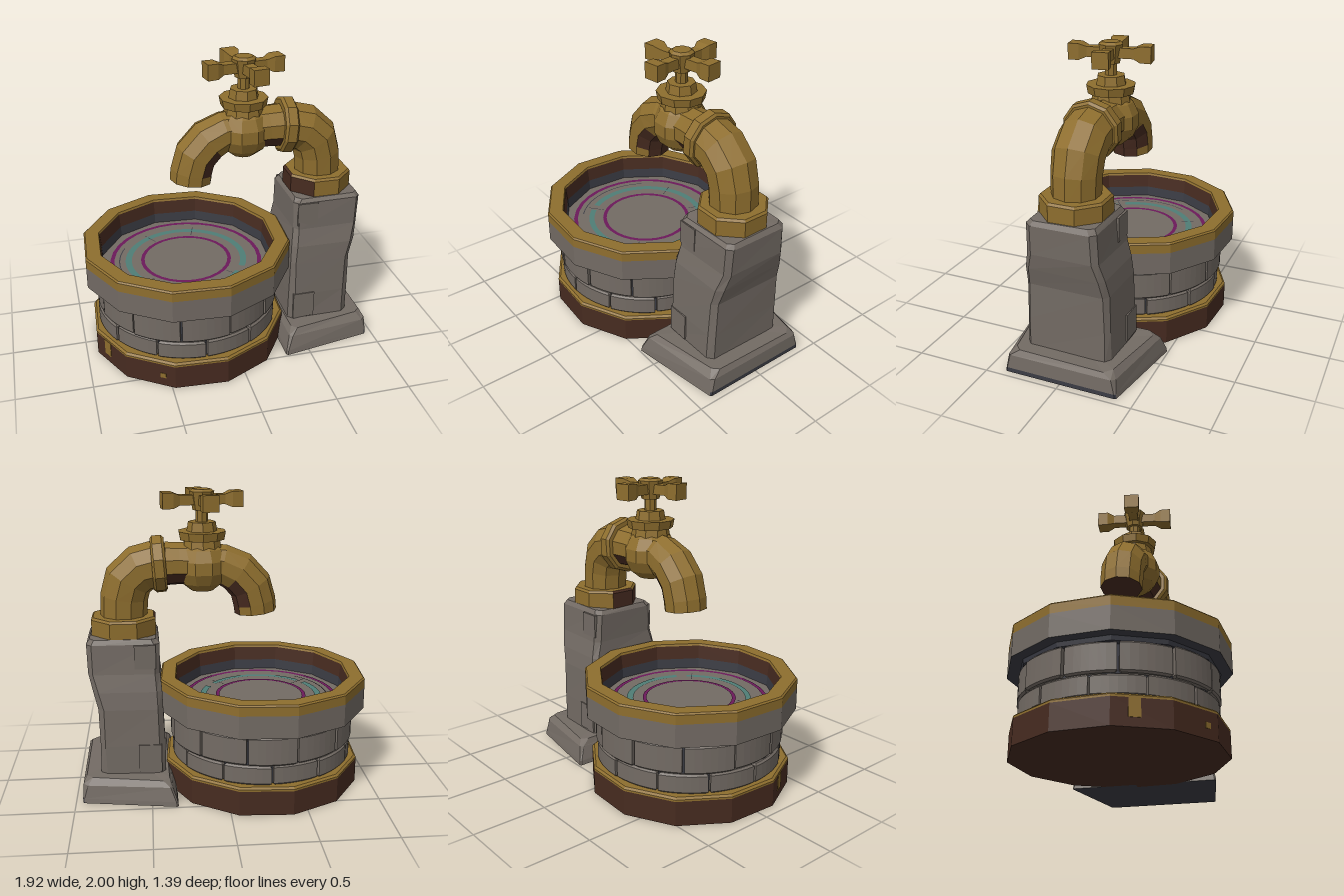
import * as THREE from 'three';

const mat = (name, color) => {
  const m = new THREE.MeshStandardMaterial({ color });
  m.name = name;
  return m;
};

export function createModel() {
  const model = new THREE.Group();
  model.name = 'waterTap';
  const gold = mat('gold', 0x8e6e2e), stone = mat('stone', 0x736b64), brown = mat('rustBrown', 0x472b20);
  const slate = mat('darkSlate', 0x3b3c44), purple = mat('purple', 0x6b1a5a), teal = mat('teal', 0x4f7d76);

  let seed = 7;
  const rand = () => ((seed = (seed * 16807) % 2147483647) / 2147483647) - 0.5;

  // Adds a faceted mesh
  const add = (name, geo, material, x = 0, y = 0, z = 0, parent = model) => {
    const g = geo.index ? geo.toNonIndexed() : geo;
    g.computeVertexNormals();
    const mesh = new THREE.Mesh(g, material);
    mesh.name = name;
    mesh.position.set(x, y, z);
    parent.add(mesh);
    return mesh;
  };

  // Skins a stack of equal-length sections and caps both ends; pick(i, j) chooses a material slot
  const loft = (sections, pick = () => 0, capSlots = [0, 0]) => {
    const buckets = {};
    const tri = (slot, ...pts) => pts.forEach(p => (buckets[slot] ??= []).push(...p));
    const n = sections[0].length;
    for (let i = 0; i < sections.length - 1; i++)
      for (let j = 0; j < n; j++) {
        const k = (j + 1) % n, lo = sections[i], hi = sections[i + 1];
        tri(pick(i, j), lo[j], lo[k], hi[k]);
        tri(pick(i, j), lo[j], hi[k], hi[j]);
      }
    [sections[0], sections.at(-1)].forEach((s, e) => {
      const c = [0, 1, 2].map(a => s.reduce((t, p) => t + p[a], 0) / n);
      for (let j = 0; j < n; j++) {
        const p = s[j], q = s[(j + 1) % n];
        e ? tri(capSlots[1], c, p, q) : tri(capSlots[0], c, q, p);
      }
    });
    const g = new THREE.BufferGeometry(), all = [];
    for (const slot in buckets) {
      g.addGroup(all.length / 3, buckets[slot].length / 3, +slot);
      all.push(...buckets[slot]);
    }
    g.setAttribute('position', new THREE.Float32BufferAttribute(all, 3));
    return g;
  };

  // Horizontal trapezoid with cut corners; z0 and z1 are half widths at x0 and x1
  const block = (y, x0, x1, z0, z1, c, wobble = 0) => [
    [x1, z1 - c], [x1, c - z1], [x1 - c, -z1], [x0 + c, -z0],
    [x0, c - z0], [x0, z0 - c], [x0 + c, z0], [x1 - c, z1],
  ].map(([x, z]) => [x + rand() * wobble, y + rand() * wobble, z + rand() * wobble]);

  // Sections of a pipe bending in the xy plane, from [x, y, radius] stations
  const pipe = (path, sides = 10) => path.map(([x, y, r], i) => {
    const a = path[Math.max(i - 1, 0)], b = path[Math.min(i + 1, path.length - 1)];
    const len = Math.hypot(b[0] - a[0], b[1] - a[1]);
    const nx = -(b[1] - a[1]) / len, ny = (b[0] - a[0]) / len;
    return Array.from({ length: sides }, (_, j) => {
      const t = j / sides * Math.PI * 2, c = r * Math.cos(t);
      return [x + nx * c, y + ny * c, r * Math.sin(t)];
    });
  });

  // ---- Basin: twelve-sided rings around its own axis ----
  const basin = new THREE.Group();
  basin.name = 'basin';
  basin.position.x = -0.265;
  model.add(basin);
  const ring = (name, material, pts) => add(name, new THREE.LatheGeometry(
    pts.map(p => new THREE.Vector2(...p)), 12, 0.2), material, 0, 0, 0, basin);
  ring('basinFoot', brown, [[0, 0], [0.675, 0], [0.675, 0.165]]);
  ring('footTrim', gold, [[0.675, 0.165], [0.675, 0.178], [0.66, 0.19], [0.59, 0.19]]);
  ring('wallCore', slate, [[0.605, 0.17], [0.605, 0.5], [0.63, 0.51], [0.635, 0.54], [0.71, 0.54]]);
  ring('rimBand', stone, [[0.71, 0.54], [0.71, 0.69]]);
  ring('rimCap', gold, [[0.71, 0.69], [0.71, 0.75], [0.7, 0.76], [0.605, 0.76], [0.6, 0.745]]);
  ring('innerWall', brown, [[0.6, 0.745], [0.59, 0.65]]);
  ring('innerWallFoot', slate, [[0.59, 0.65], [0.585, 0.58]]);
  ring('basinFloor', stone, [[0.585, 0.58], [0, 0.58]]);

  // Two staggered courses of bevelled bricks
  [[0.19, 0.32, 0.618, 0], [0.325, 0.515, 0.625, 0.5]].forEach(([y0, y1, r, shift]) => {
    for (let i = 0; i < 12; i++) {
      const step = Math.PI / 6, b = 0.012;
      const a0 = (i + shift) * step + 0.03, a1 = (i + 1 + shift) * step - 0.03;
      const out = r - b + rand() * 0.014;
      const shape = new THREE.Shape();
      shape.absarc(0, 0, out, a0, a1, false);
      shape.absarc(0, 0, 0.57, a1, a0, true);
      const g = new THREE.ExtrudeGeometry(shape, {
        depth: y1 - y0 - 2 * b + rand() * 0.012, bevelSize: b, bevelThickness: b, bevelSegments: 1, curveSegments: 3,
      });
      g.rotateX(-Math.PI / 2);
      add('brick', g, stone, 0, y0 + b, 0, basin);
    }
  });

  // Painted circles and cracks on the floor
  const circle = (name, material, r0, r1, start = 0, sweep = Math.PI * 2) => add(name,
    new THREE.RingGeometry(r0, r1, 32, 1, start, sweep).rotateX(-Math.PI / 2), material, 0, 0.584, 0, basin);
  circle('outerCircle', purple, 0.495, 0.522);
  circle('innerCircle', purple, 0.287, 0.312);
  circle('brokenCircle', teal, 0.375, 0.418, -0.5, 4.2);
  circle('brokenCircle', teal, 0.375, 0.412, 3.85, 1.75);
  circle('arcCrack', slate, 0.455, 0.462, 2.6, 1.4);
  [1.25, 2.1, 3.8, 5.5].forEach(a => circle('radialCrack', slate, 0.325, 0.44, a, 0.015));

  // Worn gold flakes on the foot, each lying on a facet
  [[10, 0.07, 0.11, -0.04, 0.11], [11, 0.04, 0.035, 0.09, 0.08]].forEach(([facet, w, h, along, y]) => {
    const holder = new THREE.Group();
    holder.name = 'goldFlake';
    holder.rotation.y = 0.2 + (facet - 0.5) * Math.PI / 6;
    basin.add(holder);
    add('flakePlate', new THREE.BoxGeometry(w, h, 0.006), gold, along, y, 0.675 * Math.cos(Math.PI / 12), holder);
  });

  // ---- Stone pillar ----
  add('plinth', loft([
    block(0, 0.33, 0.955, 0.49, 0.385, 0.01), block(0.03, 0.335, 0.955, 0.485, 0.38, 0.01),
    block(0.12, 0.365, 0.945, 0.455, 0.365, 0.02, 0.01), block(0.158, 0.39, 0.925, 0.42, 0.335, 0.04, 0.012),
  ], (i, j) => (i === 0 && (j === 0 || j === 1 || j === 7) ? 1 : 0), [1, 0]), [stone, slate]);
  add('pillar', loft([
    [0.13, 0.4, 0.83, 0.3], [0.35, 0.405, 0.835, 0.297], [0.6, 0.41, 0.84, 0.293], [0.72, 0.42, 0.87, 0.28],
    [0.84, 0.43, 0.895, 0.248], [1.03, 0.43, 0.902, 0.242], [1.06, 0.45, 0.885, 0.22],
  ].map(([y, x0, x1, z]) => block(y, x0, x1, z, z - 0.01, 0.035, 0.01))), stone);
  // Slightly proud corner stones
  [1, -1].forEach(s => {
    add('cornerStone', new THREE.BoxGeometry(0.15, 0.19, 0.05), stone, 0.505, 0.265, s * 0.279);
    add('cornerStone', new THREE.BoxGeometry(0.14, 0.16, 0.05), stone, 0.525, 0.95, s * 0.225);
  });

  // ---- Tap ----
  const octagon = (x, y, r) => Array.from({ length: 8 }, (_, j) => {
    const t = (j + 0.5) * Math.PI / 4;
    return [x + r * Math.cos(t), y, -r * Math.sin(t)];
  });
  add('pipeCollar', loft([octagon(0.66, 1.05, 0.228), octagon(0.66, 1.165, 0.228), octagon(0.66, 1.18, 0.215)],
    (i, j) => (j === 3 || (j === 4 && i === 0) ? 1 : 0)), [gold, brown]);
  add('elbowPipe', loft(pipe([[0.66, 1.15, 0.155], [0.652, 1.3, 0.158], [0.622, 1.41, 0.163],
    [0.54, 1.485, 0.163], [0.42, 1.515, 0.16]])), gold);
  add('pipeFlange', loft(pipe([[0.465, 1.51, 0.172], [0.45, 1.511, 0.19], [0.39, 1.516, 0.19], [0.375, 1.517, 0.172]])), gold);
  add('pipeNeck', loft(pipe([[0.38, 1.515, 0.145], [0.29, 1.515, 0.14], [0.15, 1.51, 0.14]]),
    (i, j) => (j < 2 || j > 7 ? 1 : 0)), [gold, brown]);
  add('valveBody', new THREE.SphereGeometry(0.182, 10, 7), gold, 0.135, 1.502, 0);
  add('spout', loft(pipe([[0.1, 1.515, 0.13], [0.01, 1.508, 0.132], [-0.1, 1.455, 0.143], [-0.185, 1.36, 0.145],
    [-0.215, 1.25, 0.143], [-0.222, 1.185, 0.141]]),
  (i, j) => (i > 0 && (j === 0 || j === 9 || (i > 1 && i < 4 && (j === 1 || j === 8))) ? 1 : 0), [0, 1]), [gold, brown]);

  // Valve stem, stacked from [name, y0, y1, lower radius, upper radius, sides]
  [['bonnet', 1.62, 1.68, 0.13, 0.12, 10], ['bonnetFlange', 1.675, 1.73, 0.15, 0.16, 10],
    ['packingNut', 1.73, 1.79, 0.1, 0.09, 8], ['stem', 1.78, 1.9, 0.04, 0.04, 8],
    ['handleHub', 1.865, 1.985, 0.06, 0.082, 8], ['hubCap', 1.985, 2, 0.08, 0.06, 8],
  ].forEach(([name, y0, y1, r0, r1, n]) =>
    add(name, new THREE.CylinderGeometry(r1, r0, y1 - y0, n), gold, 0.135, (y0 + y1) / 2, 0));

  // Cross handle with four flared arms
  const handle = new THREE.Group();
  handle.name = 'crossHandle';
  handle.position.set(0.135, 1.932, 0);
  model.add(handle);
  for (let k = 0; k < 4; k++) {
    const arm = new THREE.Group();
    arm.name = 'handleArm';
    arm.rotation.y = 0.16 + k * Math.PI / 2;
    handle.add(arm);
    [[0.04, 0.15, 0.046, 0.046], [0.15, 0.195, 0.046, 0.072], [0.195, 0.265, 0.072, 0.074]].forEach(([a, b, r0, r1]) => {
      const g = new THREE.CylinderGeometry(r1, r0, b - a, 4);
      g.rotateY(Math.PI / 4).rotateZ(-Math.PI / 2);
      add('armSection', g, gold, (a + b) / 2, 0, 0, arm);
    });
  }
  return model;
}
